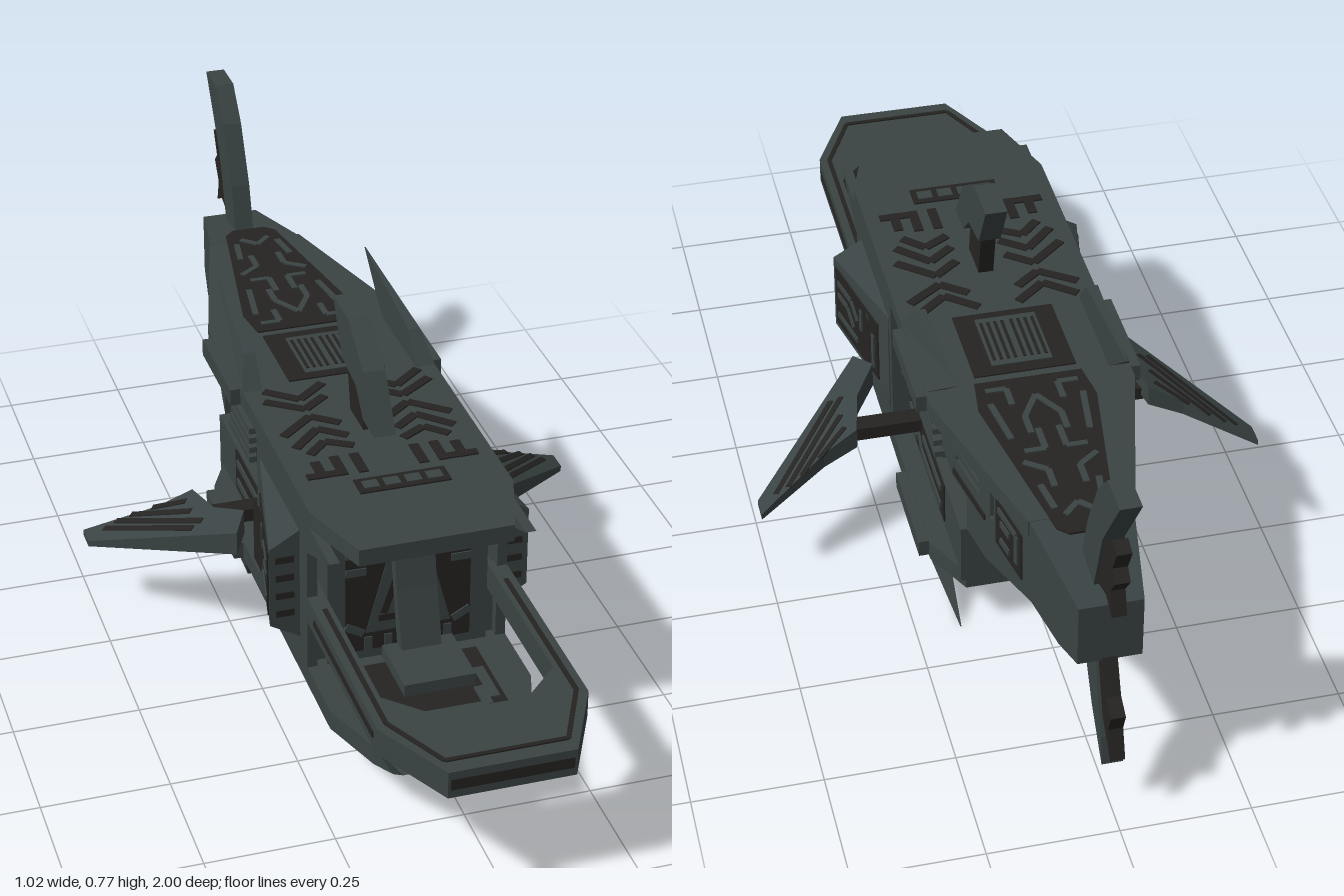
import * as THREE from 'three';

export function createModel() {
  const root = new THREE.Group();
  const hull = new THREE.MeshStandardMaterial({ color: 0x3a4343 });
  hull.name = 'slate hull';
  const dark = new THREE.MeshStandardMaterial({ color: 0x252422 });
  dark.name = 'dark recess';

  const add = (name, geo, mat = hull, mx = 1, my = 1) => {
    const m = new THREE.Mesh(geo, mat);
    m.name = name;
    m.scale.set(mx, my, 1);
    if (my < 0) m.position.y = 0.6; // mirrored about the hull's mid height
    root.add(m);
    return m;
  };
  const pair = (name, geo, mat) => [1, -1].forEach(s => add(name, geo, mat, s));

  const extrude = (pts, depth, holes = []) => {
    const shape = new THREE.Shape(pts.map(p => new THREE.Vector2(...p)));
    holes.forEach(h => shape.holes.push(new THREE.Path(h.map(p => new THREE.Vector2(...p)))));
    return new THREE.ExtrudeGeometry(shape, { depth, bevelEnabled: false });
  };
  // outlines drawn as (z, y), (x, z) and (x, y)
  const side = (pts, x0, x1, holes) => extrude(pts, x1 - x0, holes).rotateY(-Math.PI / 2).translate(x1, 0, 0);
  const plan = (pts, y0, y1) => extrude(pts.map(([x, z]) => [x, -z]), y1 - y0).rotateX(-Math.PI / 2).translate(0, y0, 0);
  const face = (pts, z0, z1) => extrude(pts, z1 - z0).translate(0, 0, z0);
  const rect = (a, b, c, d) => [[a, b], [c, b], [c, d], [a, d]];
  const both = half => [...half, ...half.slice().reverse().map(([x, z]) => [-x, z])];
  const box = (x0, x1, y0, y1, z0, z1) =>
    new THREE.BoxGeometry(x1 - x0, y1 - y0, z1 - z0).translate((x0 + x1) / 2, (y0 + y1) / 2, (z0 + z1) / 2);
  const warp = (geo, rule) => {
    const p = geo.attributes.position;
    for (let i = 0; i < p.count; i++) p.setXYZ(i, ...rule(p.getX(i), p.getY(i), p.getZ(i)));
    geo.computeVertexNormals();
    return geo;
  };
  const stroke = ([a, b, c, d], w) => {
    const l = Math.hypot(c - a, d - b), u = (d - b) / l * w / 2, v = (c - a) / l * w / 2;
    return [[a + u, b - v], [c + u, d - v], [c - u, d + v], [a - u, b + v]];
  };

  // Main core, with the open bay cut through its rear half
  const coreOutline = [[0.4, 0.12], [0.4, 0.48], [-0.33, 0.48], [-0.33, 0.33], [-0.24, 0.33], [-0.24, 0.3],
    [-0.1, 0.3], [-0.1, 0.25], [-0.4, 0.25], [-0.4, 0.12]];
  add('core', side(coreOutline, -0.16, 0.16));

  // Tapered tail hull with slots
  const taper = (x, y, z) => [x * (0.16 + (z + 0.33) / 0.57 * 0.1) / 0.16, y, z];
  const tailOutline = [[-0.33, 0.48], [-0.69, 0.499], [-0.9, 0.465], [-0.9, 0.335], [-0.82, 0.315], [-0.7, 0.315],
    [-0.49, 0.25], [-0.4, 0.25], [-0.4, 0.33], [-0.33, 0.33]];
  const slots = [rect(-0.46, 0.383, -0.35, 0.395), rect(-0.46, 0.408, -0.35, 0.42), rect(-0.53, 0.37, -0.51, 0.43)];
  add('tailHull', warp(side(tailOutline, -0.16, 0.16, slots), taper));

  // Decks
  add('topDeck', plan(both([[0.15, 0.57], [0.2, 0.42], [0.2, -0.32], [0.1, -0.69]]), 0.465, 0.5));
  add('bottomDeck', warp(plan(both([[0.13, 0.78], [0.155, 0.68], [0.2, 0.55], [0.2, -0.3], [0.15, -0.4]]), 0.1, 0.14),
    (x, y, z) => [x, y, y < 0.12 && z > 0.7 ? z - 0.06 : z]));
  pair('deckGusset', side([[0.55, 0.466], [0.4, 0.466], [0.4, 0.4]], 0.18, 0.2));

  // Side walls, joined to the core by rails
  pair('sideWall', box(0.18, 0.2, 0.14, 0.465, 0.05, 0.4));
  pair('sideRail', box(0.16, 0.18, 0.385, 0.4, 0.05, 0.38));
  pair('sideRail', box(0.16, 0.18, 0.14, 0.29, 0.05, 0.38));

  // Side pods: faceted blocks narrowing to the rear
  pair('sidePod', warp(face([[0.19, 0.18], [0.2, 0.18], [0.26, 0.215], [0.26, 0.385], [0.2, 0.42], [0.19, 0.42]], 0.07, 0.35),
    (x, y, z) => [z < 0.1 ? Math.min(x, 0.202) : x, y, z]));

  // Bow ring
  add('bowRing', plan([[-0.2, 0.38], [-0.2, 0.84], [-0.12, 1], [0.12, 1], [0.2, 0.84], [0.2, 0.38],
    [0.165, 0.38], [0.165, 0.75], [0.09, 0.825], [-0.09, 0.825], [-0.165, 0.75], [-0.165, 0.38]], 0.245, 0.3));
  add('bowSlot', face(rect(-0.115, 0.262, 0.115, 0.284), 0.997, 1.0015), dark);
  pair('ringSlot', side(rect(0.45, 0.268, 0.82, 0.28), 0.197, 0.203), dark);
  pair('ringGroove', plan(stroke([0.18, 0.45, 0.18, 0.83], 0.009), 0.298, 0.303), dark);
  pair('ringGroove', plan(stroke([0.18, 0.83, 0.115, 0.965], 0.009), 0.298, 0.303), dark);
  add('ringGroove', plan(stroke([-0.115, 0.965, 0.115, 0.965], 0.009), 0.298, 0.303), dark);

  // Control seat in the bow
  add('console', box(-0.07, 0.07, 0.18, 0.205, 0.46, 0.6));
  add('consolePost', box(-0.03, 0.03, 0.13, 0.18, 0.5, 0.54));
  add('consoleBack', side([[0.49, 0.2], [0.46, 0.2], [0.415, 0.39], [0.44, 0.39], [0.455, 0.32]], -0.04, 0.04));

  // Dorsal fin
  add('dorsalFin', side([[0.25, 0.535], [0.18, 0.64], [0.08, 0.705], [-0.02, 0.705], [0.04, 0.6], [0.13, 0.585], [0.18, 0.535]], -0.022, 0.022));
  add('dorsalPylon', side([[0.14, 0.6], [0.05, 0.6], [0.075, 0.49], [0.16, 0.49]], -0.015, 0.015), dark);

  // Four blade fins with an outer face that slopes inward
  const blade = warp(side([[-0.05, 0.5], [-0.1, 0.56], [-0.4, 0.6], [-0.28, 0.5]], 0.16, 0.2),
    (x, y, z) => [x > 0.18 ? 0.162 + 0.038 * Math.min(1, (0.6 - y) / 0.07) : x, y, z]);
  const bladeBase = box(0.16, 0.22, 0.463, 0.498, -0.29, -0.07);
  for (const mx of [1, -1]) for (const my of [1, -1]) {
    add('bladeFin', blade, hull, mx, my);
    add('bladeBase', bladeBase, hull, mx, my);
  }

  // Tail fins
  add('upperTailFin', side([[-0.77, 0.48], [-0.8, 0.58], [-0.86, 0.7], [-0.92, 0.768], [-1, 0.768], [-0.9, 0.62], [-0.85, 0.47]], -0.02, 0.02));
  add('upperTailFlap', side([[-0.85, 0.48], [-0.88, 0.6], [-0.94, 0.65], [-0.97, 0.64], [-0.945, 0.59], [-0.965, 0.57],
    [-0.935, 0.53], [-0.95, 0.48], [-0.91, 0.5]], -0.014, 0.014), dark);
  add('lowerTailFin', side([[-0.77, 0.33], [-0.86, 0.19], [-0.935, 0.11], [-0.925, 0.17], [-0.87, 0.33]], -0.02, 0.02));
  add('lowerTailFlap', side([[-0.86, 0.34], [-0.9, 0.22], [-0.97, 0.15], [-0.95, 0.21], [-0.965, 0.25], [-0.93, 0.27],
    [-0.9, 0.34]], -0.014, 0.014), dark);

  // Drooping swept wings
  const wingTop = x => 0.295 - 0.52 * (x - 0.26);
  const droop = (x, y, z) => [x, wingTop(x) + y * (0.05 - 0.15 * (x - 0.26)), z];
  pair('wing', warp(plan([[0.51, -0.17], [0.51, -0.125], [0.265, 0.13], [0.235, 0.075], [0.28, 0.01], [0.3, -0.085], [0.37, -0.1]], -1, 0), droop));
  pair('wingStrut', box(0.15, 0.33, 0.222, 0.25, -0.055, -0.015), dark);
  for (const l of [[0.475, -0.135, 0.33, 0.035], [0.45, -0.135, 0.31, 0.03], [0.42, -0.125, 0.32, -0.02], [0.38, -0.105, 0.32, -0.06]])
    pair('wingGroove', warp(plan(stroke(l, 0.012), -0.05, 0.06), droop), dark);

  // Rear octagonal engine under the tail
  const flat = g => { const n = g.toNonIndexed(); n.computeVertexNormals(); return n; };
  add('engineRing', flat(new THREE.TorusGeometry(0.055, 0.012, 4, 8)).translate(0, 0.185, -0.403));
  add('engineCore', flat(new THREE.CylinderGeometry(0.045, 0.05, 0.012, 8)).rotateX(Math.PI / 2).translate(0, 0.185, -0.403), dark);

  // Top deck: recessed bays
  add('tailBay', plan(both([[0.105, -0.28], [0.115, -0.36], [0.055, -0.72], [0.035, -0.74]]), 0.498, 0.503), dark);
  add('hatchBay', plan(rect(-0.1, -0.26, 0.1, -0.065), 0.498, 0.503), dark);
  add('hatchPlate', plan(rect(-0.06, -0.235, 0.06, -0.085), 0.498, 0.505));
  add('lightStrip', plan(rect(-0.09, 0.335, 0.09, 0.385), 0.498, 0.503), dark);
  for (let i = 0; i < 4; i++) add('stripCell', box(-0.078 + i * 0.042, -0.048 + i * 0.042, 0.5, 0.505, 0.347, 0.373));
  for (let i = 0; i < 4; i++) pair('hatchGroove', plan(rect(0.006 + i * 0.014, -0.22, 0.012 + i * 0.014, -0.1), 0.5, 0.507), dark);
  for (const l of [[0.0, -0.34, 0.035, -0.4], [0.035, -0.4, 0.035, -0.45], [0.09, -0.31, 0.05, -0.31], [0.05, -0.31, 0.05, -0.36],
    [0.09, -0.35, 0.075, -0.46], [0.06, -0.5, 0.02, -0.5], [0.02, -0.5, 0.02, -0.44], [0.07, -0.53, 0.03, -0.56],
    [0.03, -0.56, 0.03, -0.61], [0.055, -0.6, 0.045, -0.67], [0.0, -0.66, 0.03, -0.69]])
    pair('tailTrace', plan(stroke(l, 0.012), 0.5, 0.506));

  // Top deck: angular channels
  for (const l of [[0.04, -0.04, 0.1, 0.01], [0.1, 0.01, 0.16, -0.04], [0.05, 0.01, 0.1, 0.05], [0.1, 0.05, 0.17, 0],
    [0.05, 0.12, 0.1, 0.08], [0.1, 0.08, 0.17, 0.14], [0.05, 0.17, 0.1, 0.13], [0.1, 0.13, 0.16, 0.19],
    [0.05, 0.21, 0.1, 0.18], [0.1, 0.18, 0.14, 0.22], [0.06, 0.24, 0.06, 0.31], [0.1, 0.24, 0.1, 0.31],
    [0.14, 0.25, 0.14, 0.31], [0.1, 0.3, 0.17, 0.3]])
    pair('deckChannel', plan(stroke(l, 0.019), 0.498, 0.503), dark);

  // Bow floor and underside traces
  add('floorBay', plan(both([[0.13, 0.43], [0.13, 0.66], [0.1, 0.69]]), 0.138, 0.143), dark);
  for (const l of [[0.0, 0.62, 0.09, 0.62], [0.09, 0.62, 0.09, 0.56], [0.11, 0.66, 0.02, 0.66], [0.11, 0.5, 0.11, 0.6]])
    pair('floorTrace', plan(stroke(l, 0.02), 0.14, 0.146));
  for (const l of [[0.05, 0.2, 0.12, 0.14], [0.12, 0.14, 0.12, 0], [0.05, 0.13, 0.08, 0.1], [0.08, 0.1, 0.08, -0.1], [0.04, 0, 0.04, -0.2], [0.12, -0.06, 0.12, -0.2]])
    pair('keelChannel', plan(stroke(l, 0.018), 0.097, 0.102), dark);

  // Bulkhead behind the bow
  add('bulkheadBay', face(rect(-0.125, 0.16, 0.125, 0.46), 0.398, 0.403), dark);
  add('bulkheadPlate', face([[-0.085, 0.2], [0.085, 0.2], [0.035, 0.39], [-0.035, 0.39]], 0.4, 0.405));
  for (const l of [[0.02, 0.33, 0.05, 0.24], [0, 0.36, 0, 0.3], [0, 0.23, 0.06, 0.23]])
    pair('bulkheadGroove', face(stroke(l, 0.014), 0.4, 0.407), dark);
  for (const l of [[0.02, 0.455, 0.02, 0.41], [0.05, 0.455, 0.05, 0.42], [0.08, 0.455, 0.08, 0.4], [0.125, 0.38, 0.07, 0.38],
    [0.125, 0.34, 0.085, 0.34], [0.125, 0.22, 0.09, 0.2], [0.08, 0.16, 0.08, 0.19], [0.04, 0.16, 0.04, 0.19]])
    pair('bulkheadTrace', face(stroke(l, 0.016), 0.4, 0.406));

  // Pod faces
  pair('podBay', side(rect(0.13, 0.23, 0.335, 0.37), 0.23, 0.2305), dark);
  const podX = z => 0.26 - (0.35 - z) / 0.28 * 0.058;
  const onPod = (x, y, z) => [podX(z) + x, y, z];
  pair('podBay', warp(side(rect(0.12, 0.23, 0.335, 0.37), -0.002, 0.003), onPod), dark);
  for (const l of [[0.32, 0.34, 0.25, 0.34], [0.25, 0.34, 0.22, 0.31], [0.32, 0.31, 0.27, 0.31], [0.27, 0.31, 0.24, 0.28],
    [0.32, 0.26, 0.22, 0.26], [0.2, 0.35, 0.2, 0.3], [0.17, 0.36, 0.17, 0.25], [0.14, 0.33, 0.14, 0.25]])
    pair('podTrace', warp(side(stroke(l, 0.012), 0, 0.006), onPod));
  for (const y of [0.24, 0.28, 0.32, 0.36]) pair('podSlot', face(rect(0.212, y - 0.007, 0.248, y + 0.007), 0.348, 0.353), dark);

  // Core flanks: recessed bays, ribs and traces
  for (const r of [[-0.09, 0.31, 0.05, 0.455], [-0.26, 0.155, 0.05, 0.245], [-0.3, 0.4, -0.1, 0.455]])
    pair('flankBay', side(rect(...r), 0.158, 0.163), dark);
  for (const l of [[0.03, 0.44, -0.01, 0.4], [-0.01, 0.4, 0.03, 0.36], [-0.03, 0.45, -0.08, 0.4], [-0.08, 0.4, -0.03, 0.35],
    [0.04, 0.33, -0.06, 0.33], [0.04, 0.22, -0.02, 0.22], [-0.02, 0.22, -0.06, 0.18], [-0.06, 0.18, -0.24, 0.18],
    [-0.08, 0.225, -0.24, 0.225], [0.03, 0.18, -0.02, 0.18], [-0.12, 0.44, -0.28, 0.44], [-0.12, 0.415, -0.28, 0.415]])
    pair('flankTrace', side(stroke(l, 0.014), 0.16, 0.167));
  for (let i = 0; i < 4; i++) pair('flankRib', box(0.155, 0.178, 0.312 + i * 0.022, 0.325 + i * 0.022, -0.25 + i * 0.008, -0.09));

  // Tail flanks: framed equipment bay
  pair('tailFlankBay', warp(side(rect(-0.66, 0.335, -0.545, 0.44), 0.158, 0.164), taper), dark);
  for (const l of [[-0.56, 0.425, -0.64, 0.425], [-0.64, 0.425, -0.64, 0.36], [-0.57, 0.4, -0.61, 0.4], [-0.57, 0.36, -0.61, 0.36]])
    pair('tailFlankTrace', warp(side(stroke(l, 0.013), 0.16, 0.169), taper));
  for (const y of [0.35, 0.45]) pair('tailGroove', warp(side(rect(-0.49, y - 0.006, -0.34, y + 0.006), 0.158, 0.164), taper), dark);

  return root;
}
